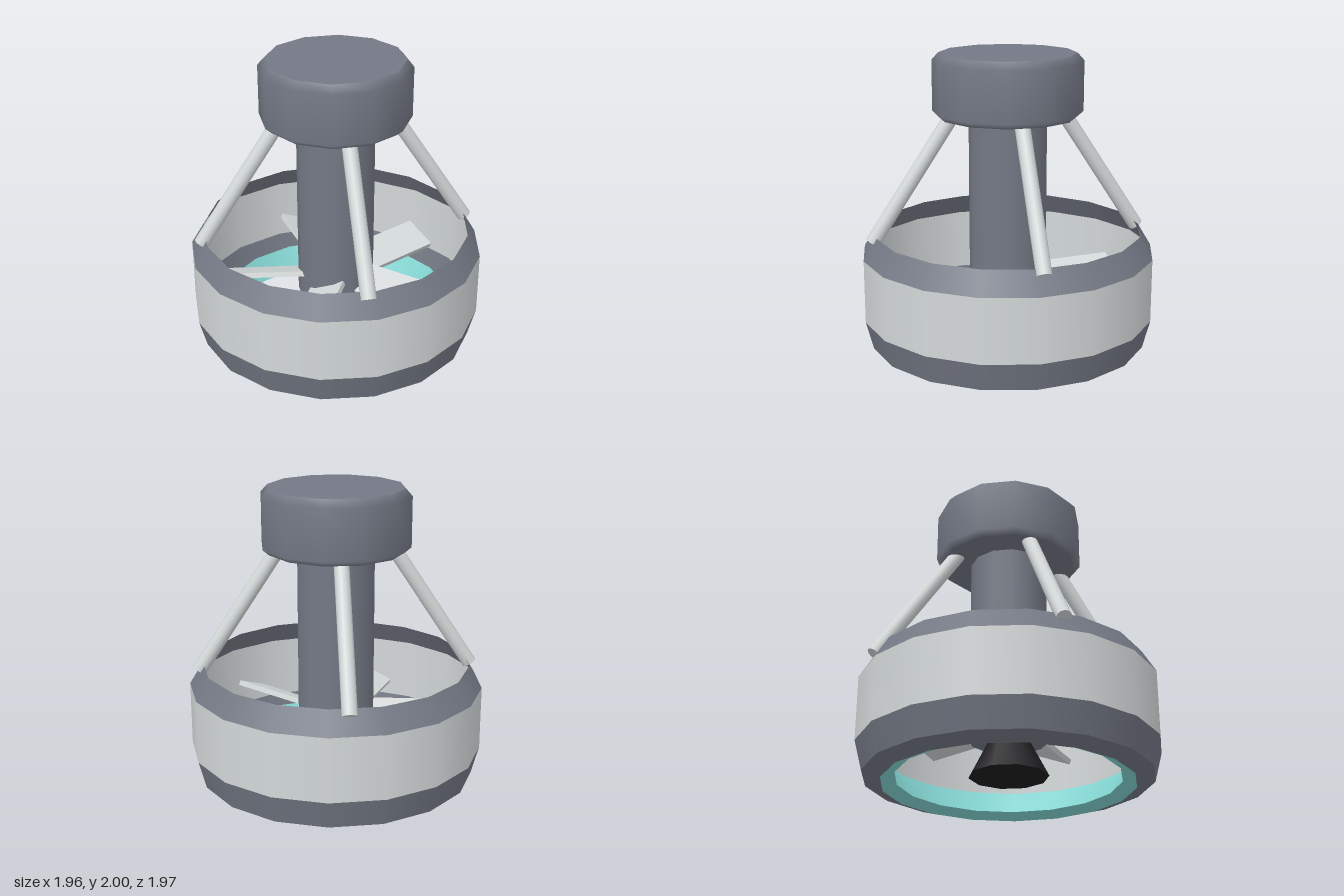
import * as THREE from 'three';

const material = (name, color, side = THREE.FrontSide) => {
  const m = new THREE.MeshStandardMaterial({ color, side });
  m.name = name;
  return m;
};

export function createModel() {
  const model = new THREE.Group();
  model.name = 'ductedThruster';
  const slate = material('slate grey', 0x747985, THREE.DoubleSide);
  const pale = material('pale grey', 0xd3d8d9, THREE.DoubleSide);
  const teal = material('teal', 0x84d6d3, THREE.DoubleSide);
  const black = material('black', 0x1d1d20);

  const add = (name, geometry, mat, parent = model) => {
    const mesh = new THREE.Mesh(geometry, mat);
    mesh.name = name;
    parent.add(mesh);
    return mesh;
  };

  // Turned surface from [radius, height] pairs, with a corner on +x
  const turn = (name, profile, sides, mat) => add(name, new THREE.LatheGeometry(
    profile.map(([r, y]) => new THREE.Vector2(r, y)), sides, Math.PI / 2), mat);

  // Thin open duct, one band per colour and slope
  turn('ductBottomLip', [[0.82, 0], [0.94, 0.04]], 17, slate);
  turn('ductLowerBand', [[0.94, 0.04], [0.99, 0.23]], 17, slate);
  turn('ductWall', [[0.99, 0.23], [0.99, 0.66]], 17, pale);
  turn('ductUpperBand', [[0.99, 0.66], [0.9, 0.81]], 17, slate);

  // Inner ring at the outlet
  turn('outletRingLower', [[0.73, 0.04], [0.82, 0]], 17, teal);
  turn('outletRingUpper', [[0.82, 0.2], [0.73, 0.04]], 17, teal);

  // Motor column and bevelled cap
  turn('column', [[0.26, 0.3], [0.26, 1.6]], 12, slate);
  turn('columnBottom', [[0, 0.3], [0.26, 0.3]], 12, slate);
  turn('capSide', [[0.46, 1.58], [0.5, 1.615], [0.5, 1.95], [0.455, 2]], 12, slate);
  turn('capTop', [[0.455, 2], [0, 2]], 12, slate);
  turn('capBottom', [[0, 1.58], [0.46, 1.58]], 12, slate);

  // Flared nozzle under the column
  turn('nozzle', [[0.26, 0.06], [0.13, 0.31]].slice(), 10, black);
  turn('nozzleEnd', [[0, 0.06], [0.26, 0.06]], 10, black);

  // Five pitched blades
  for (let i = 0; i < 5; i++) {
    const arm = new THREE.Group();
    arm.name = 'bladeArm';
    arm.rotation.y = i * Math.PI * 2 / 5;
    const blade = add('blade', new THREE.BoxGeometry(0.61, 0.035, 0.25), pale, arm);
    blade.position.set(0.505, 0.44, 0);
    blade.rotation.x = 0.38;
    model.add(arm);
  }

  // Four struts from the duct rim up to the cap
  const up = new THREE.Vector3(0, 1, 0);
  for (const sx of [-1, 1]) for (const sz of [-1, 1]) {
    const foot = new THREE.Vector3(sx * 0.65, 0.77, sz * 0.65);
    const head = new THREE.Vector3(sx * 0.255, 1.62, sz * 0.255);
    const dir = head.clone().sub(foot);
    const strut = add('strut', new THREE.CylinderGeometry(0.05, 0.05, dir.length(), 12), pale);
    strut.position.copy(foot).add(head).multiplyScalar(0.5);
    strut.quaternion.setFromUnitVectors(up, dir.normalize());
  }

  // Odd-sided duct: shift so the bounds are centred
  model.position.x = -0.008;
  return model;
}
